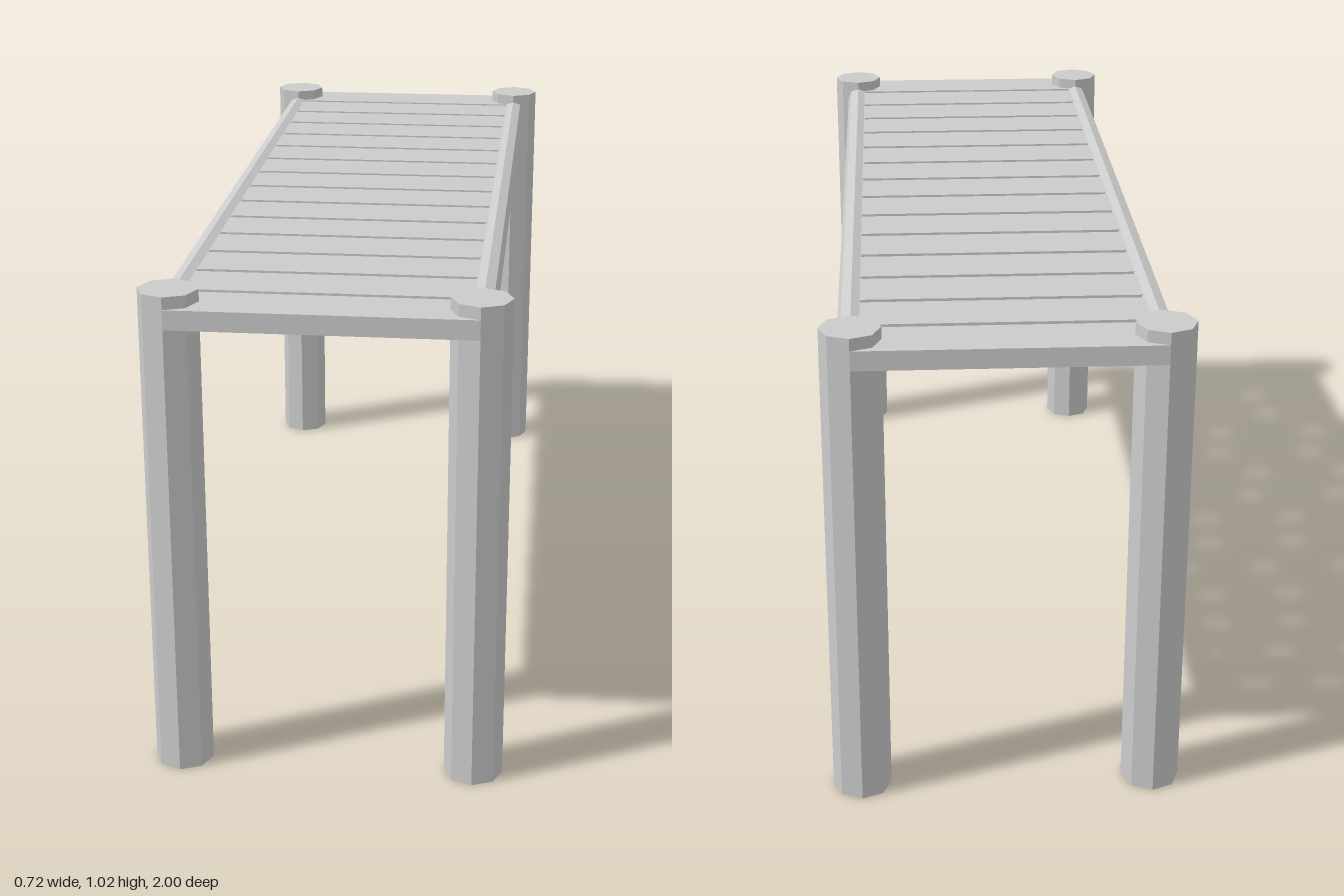
import * as THREE from 'three';

export function createModel() {
  const group = new THREE.Group();
  const material = new THREE.MeshStandardMaterial({ color: 0xcccccc, flatShading: true });

  const add = (name, geometry, x, y, z) => {
    const mesh = new THREE.Mesh(geometry, material);
    mesh.name = name;
    mesh.position.set(x, y, z);
    group.add(mesh);
  };

  // Eight-sided corner posts and the side rails that join them
  const postHeight = 1.02;
  const postGeometry = new THREE.CylinderGeometry(0.06, 0.06, postHeight, 8);
  const railGeometry = new THREE.CylinderGeometry(0.027, 0.027, 1.86, 8).rotateX(Math.PI / 2);
  for (const [side, sx] of [['left', 1], ['right', -1]]) {
    add(`${side}FrontPost`, postGeometry, sx * 0.3, postHeight / 2, 0.94);
    add(`${side}BackPost`, postGeometry, sx * 0.3, postHeight / 2, -0.94);
    add(`${side}Rail`, railGeometry, sx * 0.3, 0.975, 0);
  }

  // Evenly spaced deck slats with narrow gaps
  const slatCount = 15;
  const slatWidth = 0.12;
  const pitch = (2 - slatWidth) / (slatCount - 1);
  const slatGeometry = new THREE.BoxGeometry(0.6, 0.04, slatWidth);
  for (let i = 0; i < slatCount; i++) {
    add(`slat${i + 1}`, slatGeometry, 0, 0.975, -1 + slatWidth / 2 + i * pitch);
  }

  return group;
}
